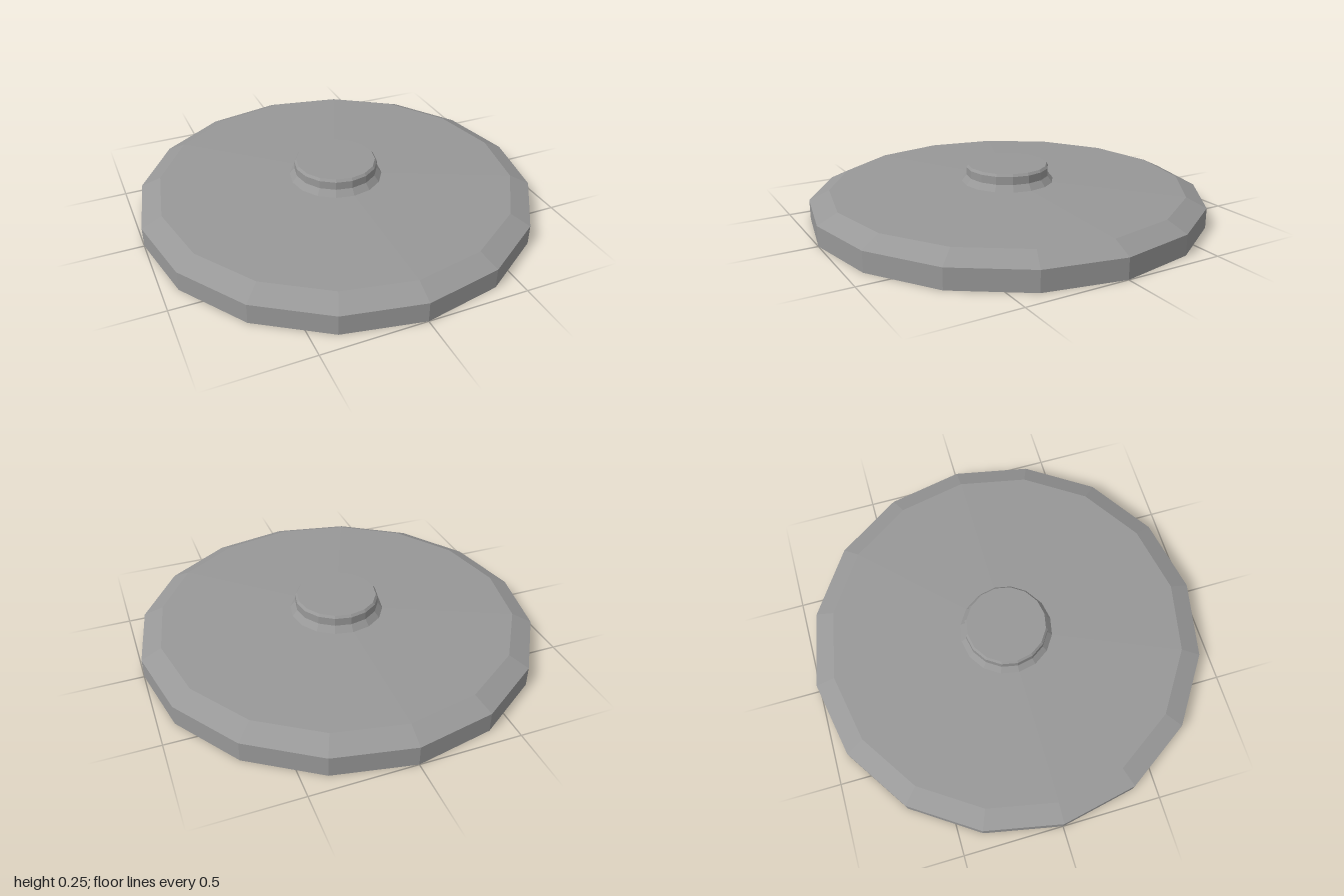
import * as THREE from 'three';

const SIDES = 16;

// Faceted solid of revolution from a [radius, height] profile, bottom to top
function turned(name, profile, material) {
  const points = profile.map(([r, y]) => new THREE.Vector2(r, y));
  const mesh = new THREE.Mesh(new THREE.LatheGeometry(points, SIDES), material);
  mesh.name = name;
  return mesh;
}

export function createModel() {
  const group = new THREE.Group();
  group.name = 'roundBase';
  const material = new THREE.MeshStandardMaterial({ color: 0x989898, flatShading: true });

  // Wide disc: flat underside, upright rim, bevel, gently sloping top
  group.add(turned('disc', [[0, 0], [1, 0], [1, 0.1], [0.9, 0.148], [0.235, 0.172]], material));

  // Raised hub: flared foot, short neck, small chamfer, flat cap
  group.add(turned('hub', [
    [0.235, 0.172], [0.21, 0.203], [0.21, 0.243], [0.2, 0.255], [0, 0.255],
  ], material));

  return group;
}
